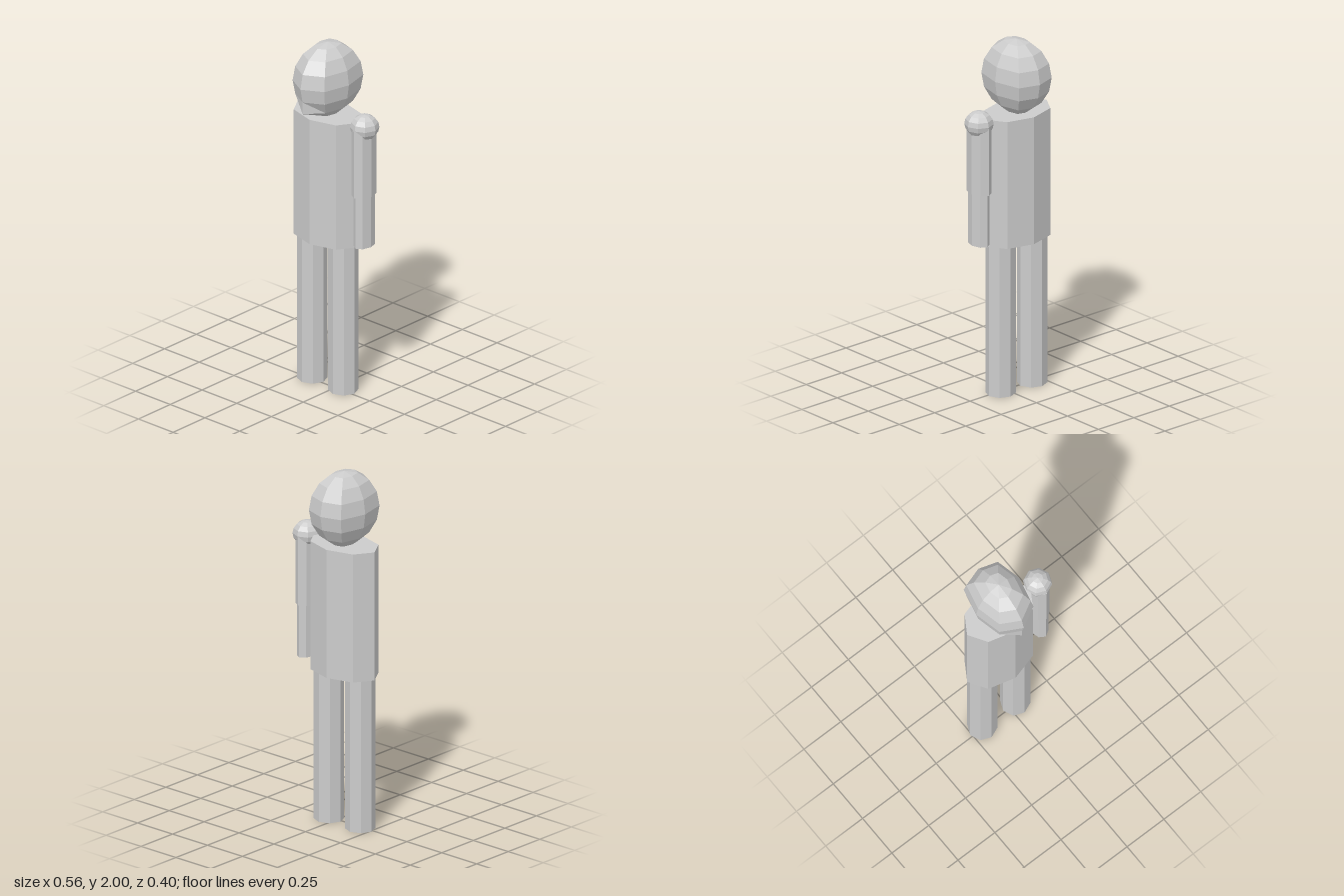
import * as THREE from 'three';

const SIDES = 8;
const Z = -0.013; // shared depth of the body axis

export function createModel() {
  const group = new THREE.Group();
  const material = new THREE.MeshStandardMaterial({ color: 0xcccccc, flatShading: true });

  function add(name, geometry, x, y, z = Z) {
    const mesh = new THREE.Mesh(geometry, material);
    mesh.name = name;
    mesh.position.set(x, y, z);
    group.add(mesh);
  }

  // Upright eight-sided prism with an elliptical section
  function prism(name, x, bottom, top, rx, rz) {
    const geometry = new THREE.CylinderGeometry(1, 1, top - bottom, SIDES);
    geometry.scale(rx, 1, rz);
    add(name, geometry, x, (bottom + top) / 2);
  }

  // Head: faceted ball, narrow in x, flatter at the back and sides, chin pulled forward
  function headGeometry() {
    const geometry = new THREE.SphereGeometry(1, SIDES, SIDES);
    const p = geometry.attributes.position;
    for (let i = 0; i < p.count; i++) {
      let x = p.getX(i), z = p.getZ(i);
      const y = p.getY(i);
      const onMiddle = Math.abs(x) < 0.01;
      if (Math.abs(z) < 0.01) x *= 0.926;
      if (onMiddle && z < 0) z *= 0.875;
      if (onMiddle && z > 0 && Math.abs(y + 0.707) < 0.01) z = 0.925;
      p.setXYZ(i, x * 0.163, y * 0.21, z * 0.2155);
    }
    geometry.computeVertexNormals();
    return geometry;
  }
  add('head', headGeometry(), -0.065, 1.79, -0.015);

  prism('torso', -0.065, 0.863, 1.59, 0.215, 0.143);

  // Legs
  prism('rightLeg', -0.177, 0, 0.87, 0.082, 0.08);
  prism('leftLeg', 0.046, 0, 0.87, 0.082, 0.08);

  // Single left arm
  const shoulder = new THREE.SphereGeometry(1, SIDES, SIDES);
  shoulder.scale(0.078, 0.072, 0.079);
  add('shoulder', shoulder, 0.2, 1.582, -0.015);
  prism('upperArm', 0.197, 1.19, 1.58, 0.055, 0.079);
  prism('forearm', 0.2, 0.893, 1.2, 0.046, 0.069);

  return group;
}
